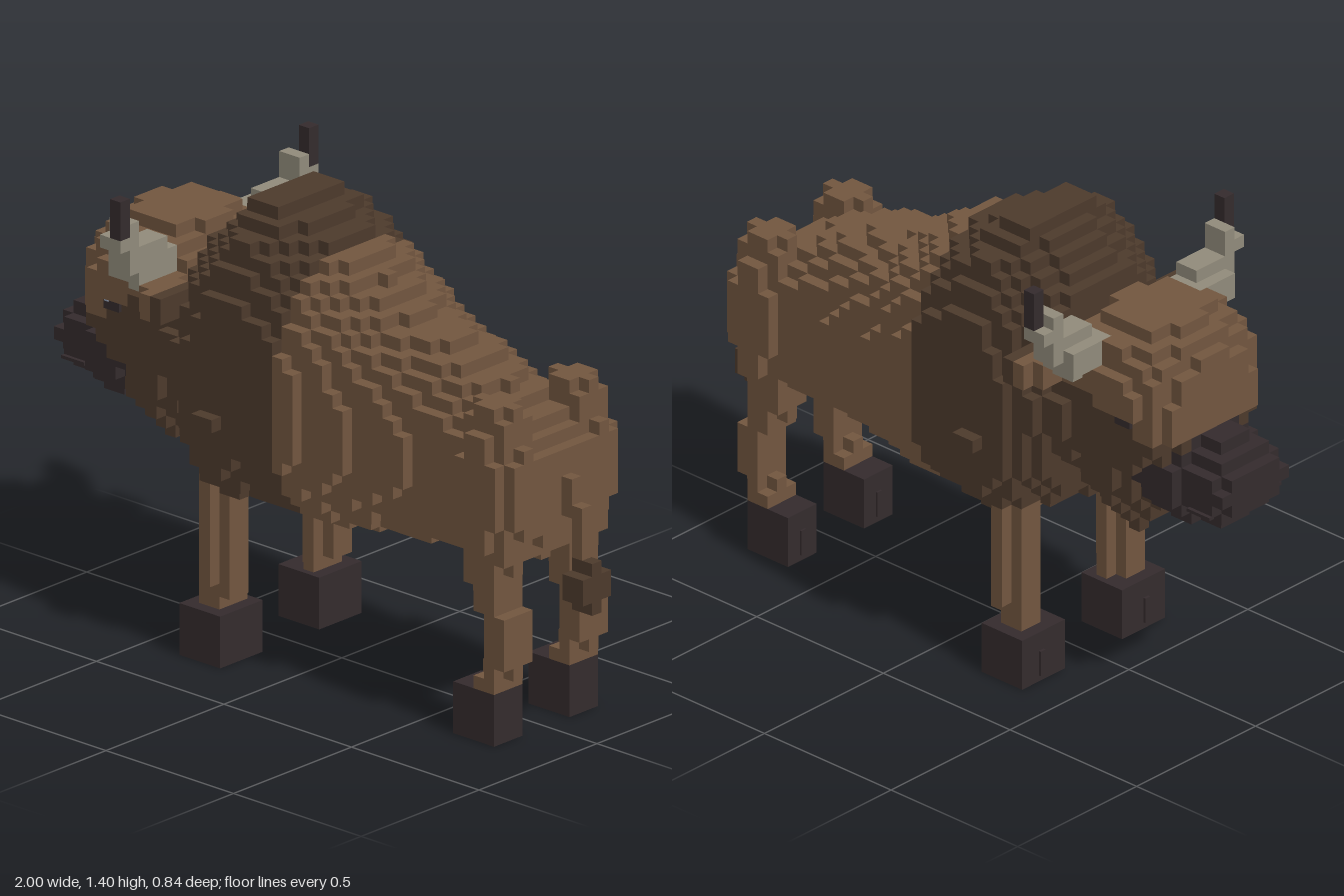
import * as THREE from 'three';

const S = 0.04; // block size
const NX = 50, NY = 35, NZ = 10;

const flat = (name, color) => {
  const m = new THREE.MeshStandardMaterial({ color });
  m.name = name;
  return m;
};

// Shape tests; z is the distance from the middle plane
const ell = (cx, cy, cz, hx, hy, hz, n = 2) => (x, y, z) =>
  Math.abs((x - cx) / hx) ** n + Math.abs((y - cy) / hy) ** n + Math.abs((z - cz) / hz) ** n <= 1;
const box = (x0, x1, y0, y1, z0, z1) => (x, y, z) =>
  x > x0 && x < x1 && y > y0 && y < y1 && z > z0 && z < z1;
const strip = (x0, x1, y0, y1, z1) => box(x0, x1, y0, y1, -1, z1);
const any = (...f) => (x, y, z) => f.some(g => g(x, y, z));
const both = (f, g) => (x, y, z) => f(x, y, z) && g(x, y, z);

// Trunk stations: x, top, bottom, half width
const trunk = [
  [-0.4, 1.23, 0.6, 0.27], [-0.34, 1.28, 0.54, 0.31], [-0.22, 1.4, 0.49, 0.355],
  [-0.14, 1.4, 0.48, 0.36], [0.02, 1.31, 0.48, 0.355], [0.14, 1.25, 0.48, 0.319],
  [0.28, 1.15, 0.505, 0.281], [0.48, 1.1, 0.52, 0.241], [0.66, 1.02, 0.52, 0.23],
  [0.78, 0.95, 0.54, 0.23], [0.84, 0.91, 0.57, 0.2], [0.88, 0.87, 0.63, 0.16],
];
function inTrunk(x, y, z) {
  for (let i = 0; i < trunk.length - 1; i++) {
    const a = trunk[i], b = trunk[i + 1];
    if (x < a[0] || x > b[0]) continue;
    const t = (x - a[0]) / (b[0] - a[0]);
    const [top, low, w] = [1, 2, 3].map(k => a[k] + (b[k] - a[k]) * t);
    const v = (y - (top + low) / 2) / ((top - low) / 2);
    const n = v > 0 ? 2.2 : 2.5; // back rounder than belly
    return z < 0.34 && Math.abs(v) ** n + (z / w) ** n <= 1;
  }
  return false;
}

// Leg of oval sections: points are [y, x, z, x radius, z radius], from the top down
const leg = pts => (x, y, z) => {
  for (let i = 0; i < pts.length - 1; i++) {
    const a = pts[i], b = pts[i + 1];
    if (y > a[0] || y < b[0]) continue;
    const t = (a[0] - y) / (a[0] - b[0]);
    const [cx, cz, rx, rz] = [1, 2, 3, 4].map(k => a[k] + (b[k] - a[k]) * t);
    return Math.hypot((x - cx) / rx, (z - cz) / rz) <= 1;
  }
  return false;
};

// Flat block faces: normal, then the two in-plane axes in order
const SIDES = [
  [[1, 0, 0], [0, 1, 0], [0, 0, 1]], [[-1, 0, 0], [0, 0, 1], [0, 1, 0]],
  [[0, 1, 0], [0, 0, 1], [1, 0, 0]], [[0, -1, 0], [1, 0, 0], [0, 0, 1]],
  [[0, 0, 1], [1, 0, 0], [0, 1, 0]], [[0, 0, -1], [0, 1, 0], [1, 0, 0]],
];

export function createModel() {
  const group = new THREE.Group();
  const tan = flat('tanFur', 0x72563f);
  const dark = flat('darkFur', 0x4d3a2c);
  const black = flat('hoofBlack', 0x342b2d);
  const horn = flat('hornGrey', 0x918b7b);
  const glint = flat('eyeGlint', 0x8f9bb0);

  const cells = new Set();
  const parts = [];
  const key = (i, j, k) => (i + 5) * 10000 + (j + 5) * 100 + k + 50;

  // Fill the free cells inside a shape; earlier parts keep their cells
  function claim(name, material, inside) {
    const list = [];
    parts.push({ name, material, list });
    for (let i = 0; i < NX; i++) for (let j = 0; j < NY; j++) for (let k = -NZ; k <= NZ; k++) {
      const id = key(i, j, k);
      if (cells.has(id) || !inside(-1 + (i + 0.5) * S, (j + 0.5) * S, Math.abs(k) * S)) continue;
      cells.add(id);
      list.push([i, j, k]);
    }
  }

  // Horns
  claim('hornTips', black, box(-0.52, -0.48, 1.28, 1.4, 0.38, 0.42));
  claim('horns', horn, any(
    box(-0.6, -0.48, 1.12, 1.2, 0.18, 0.34), box(-0.56, -0.48, 1.08, 1.24, 0.22, 0.3),
    box(-0.56, -0.48, 1.16, 1.24, 0.3, 0.38),
    box(-0.56, -0.48, 1.24, 1.32, 0.34, 0.38), box(-0.56, -0.48, 1.24, 1.28, 0.38, 0.42)));

  // Muzzle: broad in the middle, stepped in above and below
  claim('muzzle', black, both(ell(-0.83, 0.78, 0, 0.17, 0.145, 0.26), (x, y, z) =>
    z < (x < -0.84 ? 0.13 : 0.17) - Math.max(0, Math.abs(y - 0.78) - 0.05)));

  // Ears
  claim('ears', tan, any(box(-0.48, -0.4, 1.04, 1.12, 0.22, 0.34), box(-0.44, -0.4, 1.04, 1.12, 0.34, 0.38)));
  claim('earBacks', dark, box(-0.4, -0.36, 1.04, 1.12, 0.26, 0.38));

  // Head: tan crown with a brow over the eyes, dark cheeks, beard and neck
  const skull = both(ell(-0.62, 0.99, 0, 0.23, 0.255, 0.27, 2.5), (x, y, z) =>
    (x < -0.48 || y < (x < -0.44 ? 1.16 : 1.1)) && (y > 1 || z < 0.23));
  const neck = ell(-0.44, 0.9, 0, 0.14, 0.22, 0.25);
  claim('crown', tan, both(any(skull, neck), (x, y) => x < -0.4 &&
    y > (x > -0.6 ? 1.04 : x > -0.72 ? 1 : 0.92)));
  claim('cheeks', dark, any(skull, neck, ell(-0.58, 0.82, 0, 0.2, 0.24, 0.22)));
  claim('beard', dark, any(ell(-0.57, 0.68, 0, 0.1, 0.13, 0.13), strip(-0.56, -0.52, 0.48, 0.6, 0.03)));

  // Trunk: dark hump and shoulders in front, tan behind
  const shoulder = ell(-0.2, 0.78, 0.18, 0.18, 0.27, 0.1815);
  const thigh = ell(0.76, 0.78, 0.16, 0.12, 0.28, 0.1);
  const inBody = any(inTrunk, shoulder, thigh);
  claim('hump', dark, both(inBody, (x, y) => x < 0.04 && y > 0.52));
  claim('hindBody', tan, inBody);

  // Legs
  claim('frontLegs', tan, leg([[0.62, -0.26, 0.22, 0.058, 0.085], [0.44, -0.26, 0.22, 0.055, 0.078],
    [0.26, -0.26, 0.22, 0.055, 0.075], [0.16, -0.27, 0.2, 0.045, 0.055]]));
  claim('hindLegs', tan, leg([[0.6, 0.74, 0.16, 0.08, 0.08], [0.44, 0.75, 0.16, 0.055, 0.06],
    [0.38, 0.79, 0.16, 0.05, 0.055], [0.26, 0.79, 0.16, 0.05, 0.055], [0.16, 0.76, 0.16, 0.045, 0.05]]));

  // Tail
  claim('tail', tan, any(strip(0.88, 0.92, 0.68, 0.8, 0.03), strip(0.92, 0.96, 0.56, 0.72, 0.03)));
  claim('tailTuft', dark, any(strip(0.92, 1, 0.44, 0.52, 0.05), strip(0.92, 1, 0.4, 0.56, 0.03)));

  // Build the exposed faces of every part
  for (const { name, material, list } of parts) {
    const pos = [], nor = [], idx = [];
    for (const c of list) {
      const mid = [-1 + (c[0] + 0.5) * S, (c[1] + 0.5) * S, c[2] * S];
      for (const [n, u, v] of SIDES) {
        if (cells.has(key(c[0] + n[0], c[1] + n[1], c[2] + n[2]))) continue;
        const b = pos.length / 3;
        for (const [p, q] of [[-1, -1], [1, -1], [1, 1], [-1, 1]]) {
          for (let a = 0; a < 3; a++) pos.push(mid[a] + (n[a] + p * u[a] + q * v[a]) * S / 2);
          nor.push(...n);
        }
        idx.push(b, b + 1, b + 2, b, b + 2, b + 3);
      }
    }
    const g = new THREE.BufferGeometry();
    g.setAttribute('position', new THREE.Float32BufferAttribute(pos, 3));
    g.setAttribute('normal', new THREE.Float32BufferAttribute(nor, 3));
    g.setIndex(idx);
    const mesh = new THREE.Mesh(g, material);
    mesh.name = name;
    group.add(mesh);
  }

  // Hooves and small details, mirrored left and right
  const block = (name, material, w, h, d, x, y, z) => {
    const mesh = new THREE.Mesh(new THREE.BoxGeometry(w, h, d), material);
    mesh.name = name;
    mesh.position.set(x, y, z);
    group.add(mesh);
  };
  for (const s of [1, -1]) {
    block('frontHoof', black, 0.16, 0.16, 0.18, -0.28, 0.08, s * 0.21);
    block('frontHoofCleft', black, 0.008, 0.08, 0.02, -0.364, 0.06, s * 0.22);
    block('hindHoof', black, 0.16, 0.16, 0.12, 0.72, 0.08, s * 0.16);
    block('hindHoofCleft', black, 0.006, 0.08, 0.02, 0.637, 0.06, s * 0.16);
    block('eye', black, 0.06, 0.045, 0.03, -0.69, 0.98, s * 0.217);
    block('eyeGlint', glint, 0.014, 0.014, 0.006, -0.706, 0.99, s * 0.234);
    block('mouthLine', black, 0.09, 0.01, 0.02, -0.915, 0.72, s * 0.142);
  }
  return group;
}
